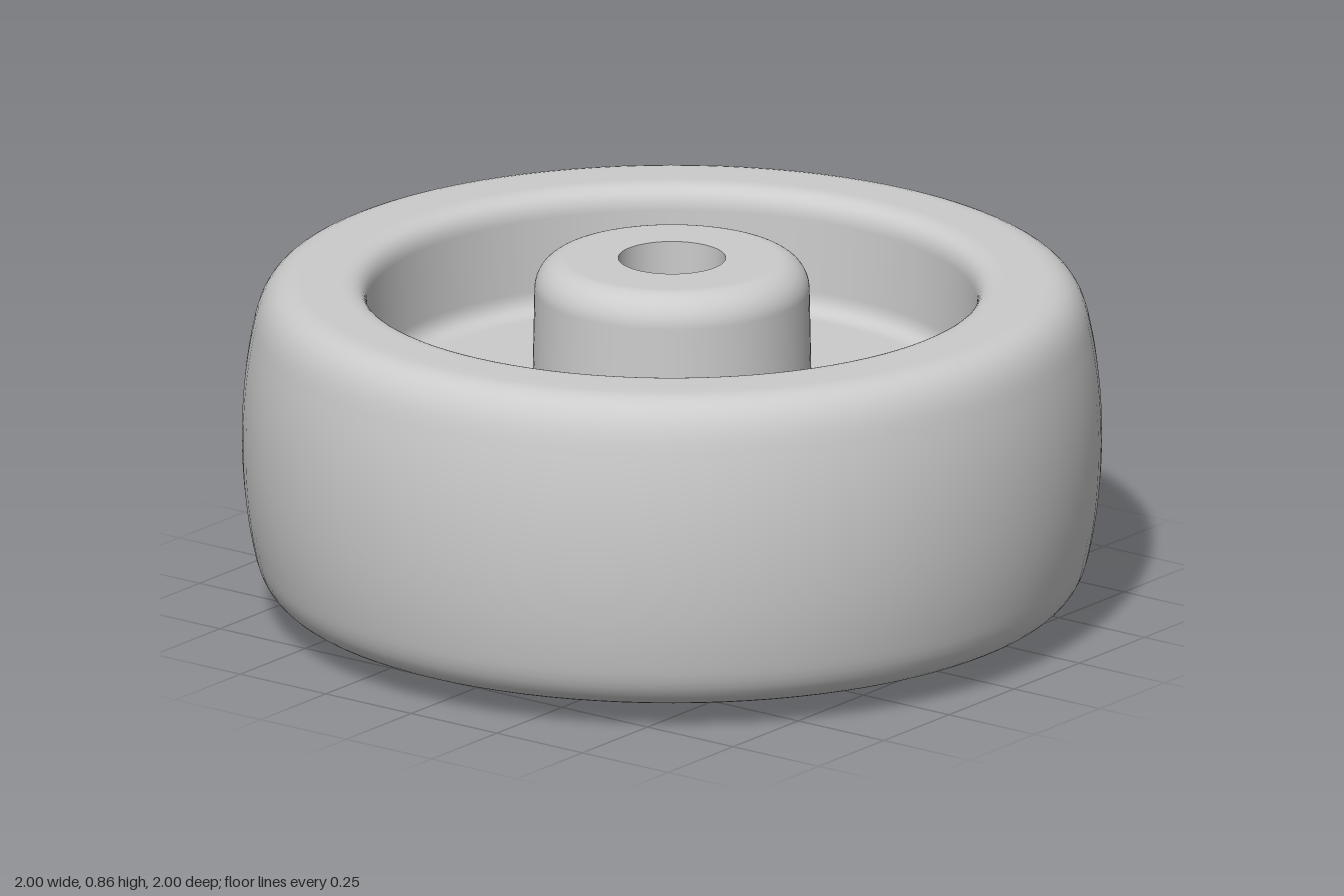
import * as THREE from 'three';

const MID = 0.43; // height of the wheel's mid plane
const SIDES = 96;

// Upper half of the tyre and rim, from the tread's equator inward to the web
function tyreProfile() {
  const p = new THREE.Path();
  p.moveTo(1, 0);
  p.quadraticCurveTo(1, 0.14, 0.974, 0.26);
  p.bezierCurveTo(0.96, 0.34, 0.925, 0.377, 0.865, 0.377);
  p.lineTo(0.775, 0.377);
  p.quadraticCurveTo(0.712, 0.377, 0.71, 0.32);
  p.lineTo(0.705, 0.15);
  p.quadraticCurveTo(0.704, 0.1, 0.65, 0.1);
  p.lineTo(0.5, 0.1);
  return p.getPoints(10);
}

// Upper half of the hub, from the web up to the edge of the bore
function hubProfile() {
  const p = new THREE.Path();
  p.moveTo(0.5, 0.1);
  p.lineTo(0.375, 0.1);
  p.quadraticCurveTo(0.325, 0.1, 0.324, 0.15);
  p.lineTo(0.32, 0.355);
  p.absarc(0.245, 0.355, 0.075, 0, Math.PI / 2, false);
  p.lineTo(0.125, 0.43);
  return p.getPoints(10);
}

// Mirror a profile about the mid plane, keeping the outward winding
const mirrored = (points) => points.map((v) => new THREE.Vector2(v.x, -v.y)).reverse();

export function createModel() {
  const group = new THREE.Group();
  const material = new THREE.MeshStandardMaterial({ color: 0xcccccc });

  function addLathe(name, points) {
    const mesh = new THREE.Mesh(new THREE.LatheGeometry(points, SIDES), material);
    mesh.name = name;
    mesh.position.y = MID;
    group.add(mesh);
  }

  // Crowned tyre with both recessed faces
  const tyre = tyreProfile();
  addLathe('tyreAndWeb', [...mirrored(tyre), ...tyre.slice(1)]);

  // Raised hub on each face
  const hub = hubProfile();
  addLathe('upperHub', hub);
  addLathe('lowerHub', mirrored(hub));

  // Axle hole through the hub
  addLathe('axleBore', [new THREE.Vector2(0.125, 0.43), new THREE.Vector2(0.125, -0.43)]);

  return group;
}
